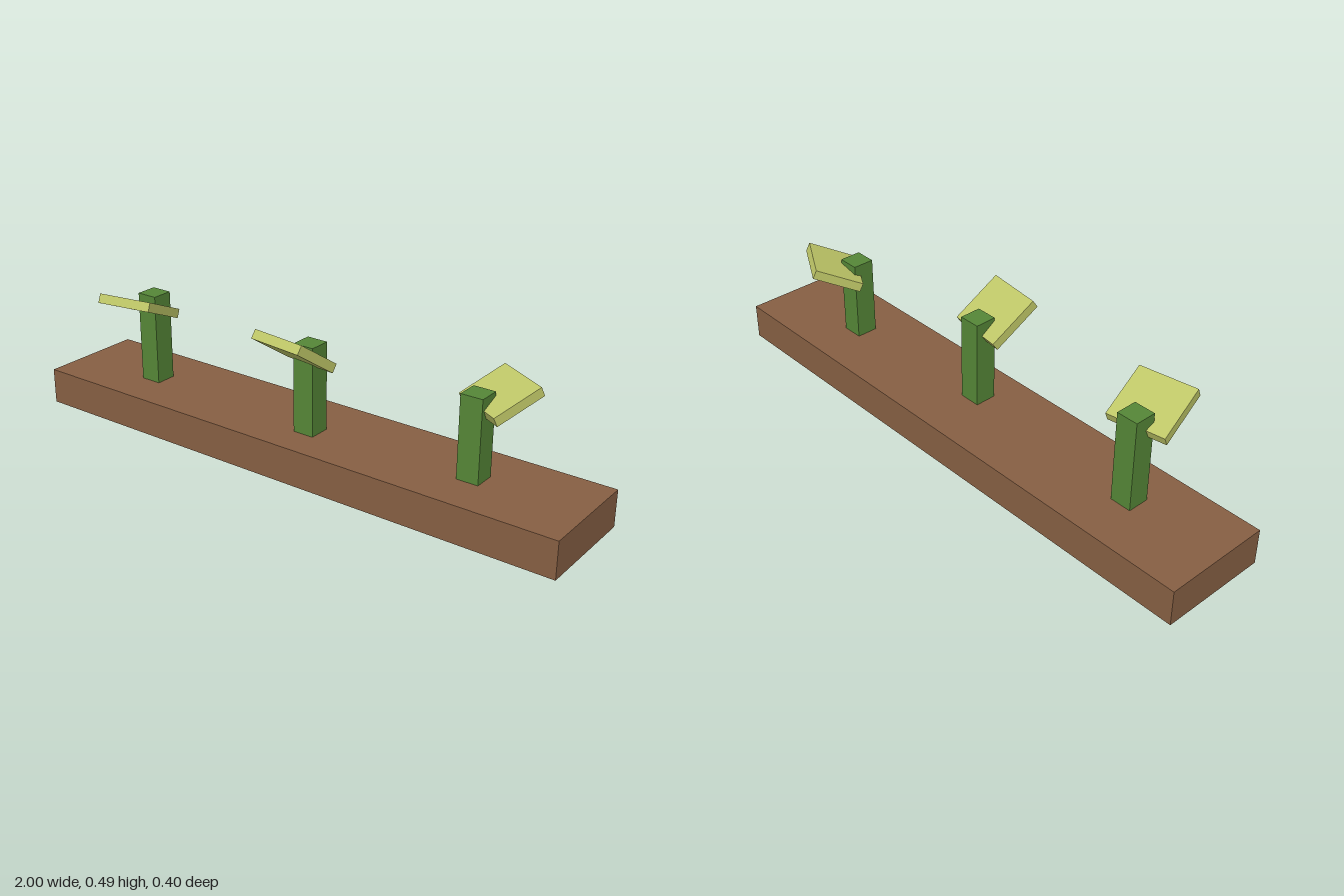
import * as THREE from 'three';

const mat = (name, color, extra = {}) => {
  const m = new THREE.MeshStandardMaterial({ color, ...extra });
  m.name = name;
  return m;
};

export function createModel() {
  const soil = mat('brown', 0x865f43, { side: THREE.DoubleSide });
  const green = mat('green', 0x558637);
  const lime = mat('lime', 0xbec667);
  const root = new THREE.Group();
  root.name = 'planter';

  const add = (parent, name, geometry, material, x, y, z) => {
    const mesh = new THREE.Mesh(geometry, material);
    mesh.name = name;
    mesh.position.set(x, y, z);
    parent.add(mesh);
    return mesh;
  };

  // Long bed, hollow and open underneath: the bottom face is left out
  const bedGeo = new THREE.BoxGeometry(2, 0.125, 0.375);
  const index = Array.from(bedGeo.index.array);
  index.splice(18, 6);
  bedGeo.setIndex(index);
  bedGeo.clearGroups();
  add(root, 'bed', bedGeo, soil, 0, 0.0625, -0.011);

  // Each sprout: a square stem and one tilted slab leaf
  const sprouts = [
    { x: -0.654, z: 0.0, top: 0.441, leaf: [-0.64, 0.42, 0.089], length: 0.188, yaw: 9.5, tilt: 24 },
    { x: 0.037, z: 0.025, top: 0.428, leaf: [0.03, 0.421, 0.099], length: 0.187, yaw: -7, tilt: 34 },
    { x: 0.624, z: -0.006, top: 0.403, leaf: [0.663, 0.384, -0.0735], length: 0.17, yaw: 150.6, tilt: 24.5 },
  ];
  for (const s of sprouts) {
    const sprout = new THREE.Group();
    sprout.name = 'sprout';
    root.add(sprout);
    const height = s.top - 0.125;
    add(sprout, 'stem', new THREE.BoxGeometry(0.075, height, 0.075), green, s.x, 0.125 + height / 2, s.z);
    const leaf = add(sprout, 'leaf', new THREE.BoxGeometry(0.2, 0.032, s.length), lime, ...s.leaf);
    leaf.rotation.set(-THREE.MathUtils.degToRad(s.tilt), THREE.MathUtils.degToRad(s.yaw), 0, 'YXZ');
  }
  return root;
}
